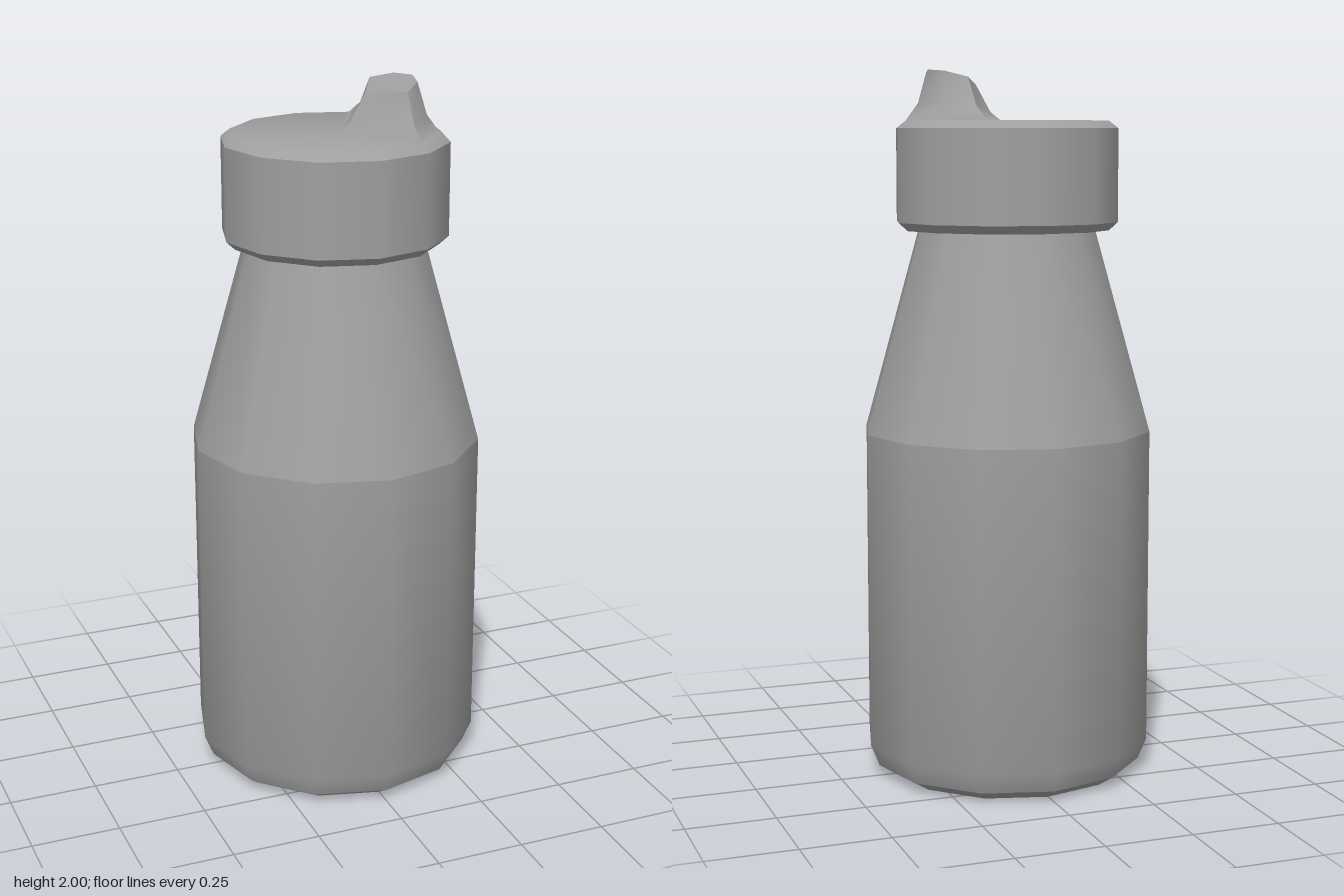
import * as THREE from 'three';

const material = new THREE.MeshStandardMaterial({ color: 0xa0a0a0 });
const SIDES = 12;

function addMesh(group, name, geometry) {
  const mesh = new THREE.Mesh(geometry, material);
  mesh.name = name;
  group.add(mesh);
}

// Twelve-sided turned part from [radius, height] pairs, bottom to top.
// Corners of the profile are smoothed, each neighbouring segment counting equally.
function turned(profile) {
  const points = profile.map(([r, y]) => new THREE.Vector2(r, y));
  const geometry = new THREE.LatheGeometry(points, SIDES);
  const segments = points.slice(1).map((p, i) =>
    new THREE.Vector2(p.y - points[i].y, points[i].x - p.x).normalize());
  const normal = geometry.attributes.normal;
  for (let i = 0; i < normal.count; i++) {
    const j = i % points.length;
    const phi = Math.floor(i / points.length) / SIDES * Math.PI * 2;
    const n = new THREE.Vector2();
    if (j > 0) n.add(segments[j - 1]);
    if (j < segments.length) n.add(segments[j]);
    n.normalize();
    normal.setXYZ(i, n.x * Math.sin(phi), n.y, n.x * Math.cos(phi));
  }
  return geometry;
}

// Smooth wall through rows of points, bottom to top; its foot blends into the cap
function wall(rows) {
  const n = rows[0].length;
  const index = [];
  for (let r = 0; r < rows.length - 1; r++) {
    for (let i = 0; i < n - 1; i++) {
      const a = r * n + i, b = a + 1;
      index.push(a, b, b + n, a, b + n, a + n);
    }
  }
  const geometry = new THREE.BufferGeometry();
  geometry.setAttribute('position', new THREE.Float32BufferAttribute(rows.flat(2), 3));
  geometry.setIndex(index);
  geometry.computeVertexNormals();
  for (let i = 0; i < n; i++) geometry.attributes.normal.setXYZ(i, 0, 1, 0);
  return geometry;
}

// Flat fan over a ring of points
function fan(ring) {
  const index = [];
  for (let i = 1; i < ring.length - 1; i++) index.push(0, i, i + 1);
  const geometry = new THREE.BufferGeometry();
  geometry.setAttribute('position', new THREE.Float32BufferAttribute(ring.flat(), 3));
  geometry.setIndex(index);
  geometry.computeVertexNormals();
  return geometry;
}

// Ring of six corners: inner tip, side, shoulder, outer tip and the mirrored half
function spoutRing(tip, side, shoulder, outer) {
  const mirror = ([x, y, z]) => [x, y, -z];
  return [tip, side, shoulder, outer, mirror(shoulder), mirror(side)];
}

function createSpout() {
  const spout = new THREE.Group();
  spout.name = 'spout';
  const rings = [
    spoutRing([0.015, 1.861, 0], [0.145, 1.861, 0.251], [0.251, 1.861, 0.145], [0.29, 1.861, 0]),
    spoutRing([0.047, 1.885, 0], [0.153, 1.9, 0.185], [0.226, 1.905, 0.11], [0.258, 1.91, 0]),
    spoutRing([0.09, 1.96, 0], [0.158, 1.978, 0.131], [0.209, 1.995, 0.08], [0.23, 2.0, 0]),
  ];
  const columns = (...ids) => rings.map(ring => ids.map(i => ring[i]));
  addMesh(spout, 'spoutOuterWall', wall(columns(1, 2, 3, 4, 5)));
  addMesh(spout, 'spoutInnerWallFront', wall(columns(0, 1)));
  addMesh(spout, 'spoutInnerWallBack', wall(columns(5, 0)));
  addMesh(spout, 'spoutTop', fan(rings[2]));
  return spout;
}

export function createModel() {
  const group = new THREE.Group();
  group.name = 'bottle';

  // Foot, straight body and tapered shoulder, with sharp edges between them
  addMesh(group, 'foot', turned([[0, 0], [0.34, 0], [0.387, 0.03]]));
  addMesh(group, 'body', turned([[0.387, 0.03], [0.412, 0.09], [0.412, 0.99]]));
  addMesh(group, 'shoulder', turned([[0.412, 0.99], [0.25, 1.57]]));

  // Cap: underside, lower bevel, side and softly rounded top
  addMesh(group, 'capUnderside', turned([[0.23, 1.557], [0.292, 1.557]]));
  addMesh(group, 'capBevel', turned([[0.292, 1.557], [0.317, 1.58]]));
  addMesh(group, 'capSide', turned([[0.317, 1.58], [0.317, 1.84]]));
  addMesh(group, 'capTop', turned([[0.317, 1.84], [0.29, 1.861], [0, 1.861]]));

  // Drinking spout at the edge of the cap
  group.add(createSpout());

  return group;
}
